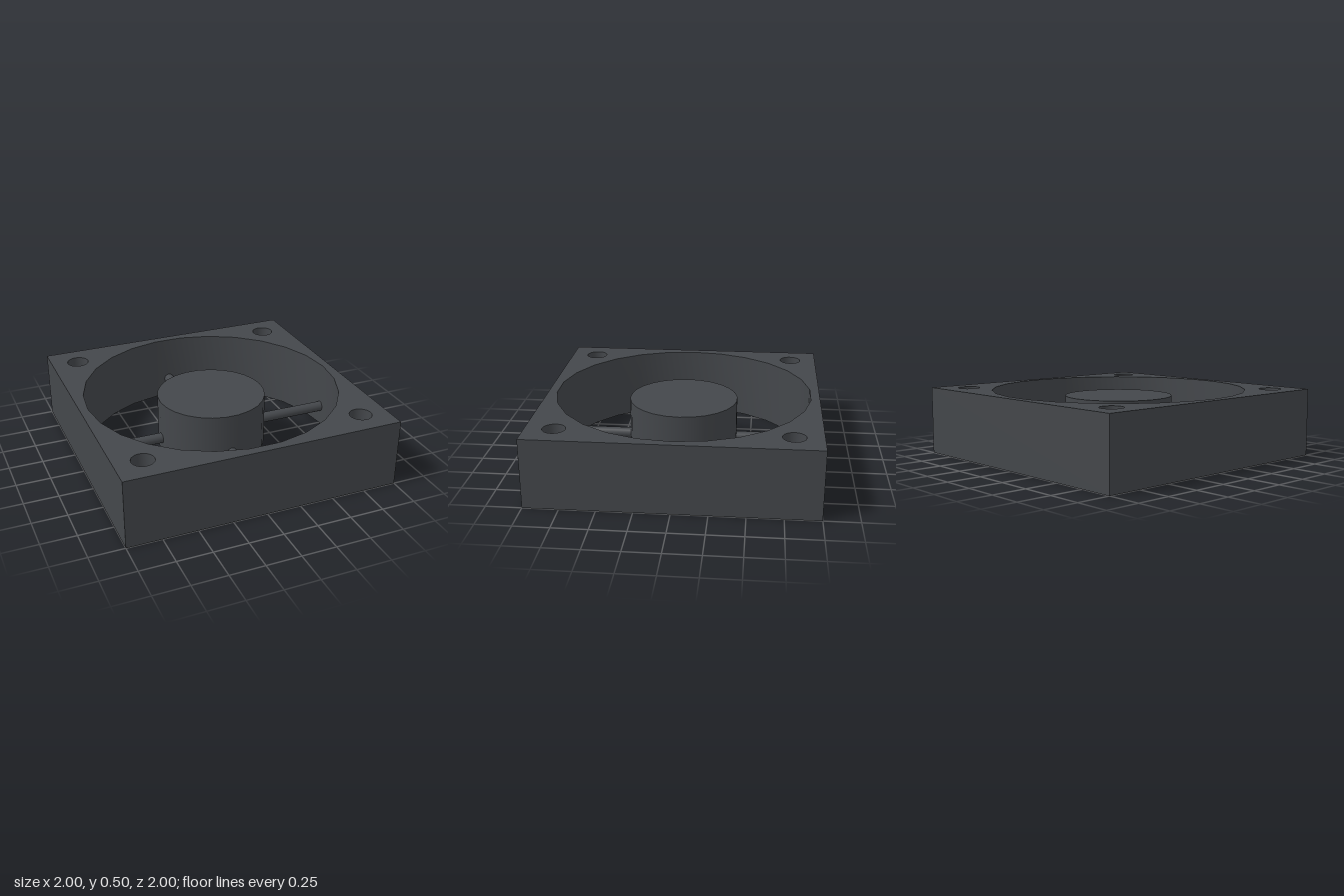
import * as THREE from 'three';
import { toCreasedNormals } from 'three/addons/utils/BufferGeometryUtils.js';

const SIDES = 26;

export function createModel() {
  const group = new THREE.Group();
  const plastic = new THREE.MeshStandardMaterial({ color: 0x44474b });
  plastic.name = 'darkPlastic';

  const add = (name, geometry) => {
    const mesh = new THREE.Mesh(geometry, plastic);
    mesh.name = name;
    group.add(mesh);
    return mesh;
  };

  // Round hole as a regular polygon
  const hole = (x, y, r) => {
    const points = [];
    for (let i = 0; i < SIDES; i++) {
      const a = -(i / SIDES) * Math.PI * 2;
      points.push(new THREE.Vector2(x + r * Math.cos(a), y + r * Math.sin(a)));
    }
    return new THREE.Path(points);
  };

  // Square housing with the air duct and four screw holes
  const outline = new THREE.Shape([
    new THREE.Vector2(-1, -1), new THREE.Vector2(1, -1),
    new THREE.Vector2(1, 1), new THREE.Vector2(-1, 1),
  ]);
  outline.holes.push(hole(0, 0, 0.94));
  for (const x of [-0.8, 0.8]) {
    for (const y of [-0.8, 0.8]) outline.holes.push(hole(x, y, 0.08));
  }
  const housing = new THREE.ExtrudeGeometry(outline, { depth: 0.5, bevelEnabled: false });
  housing.rotateX(-Math.PI / 2);
  add('housing', toCreasedNormals(housing, 0.5));

  // Motor hub, with a vertex on the x axis like the duct
  const hub = new THREE.CylinderGeometry(0.4, 0.4, 0.4, SIDES);
  hub.rotateY(Math.PI / 2);
  add('hub', hub).position.y = 0.25;

  // Four round struts holding the hub
  for (let i = 0; i < 4; i++) {
    const strut = new THREE.CylinderGeometry(0.039, 0.039, 0.56, 16);
    strut.rotateZ(Math.PI / 2);
    strut.translate(0.66, 0.15, 0);
    strut.rotateY((i * Math.PI) / 2);
    add('strut', strut);
  }

  return group;
}
